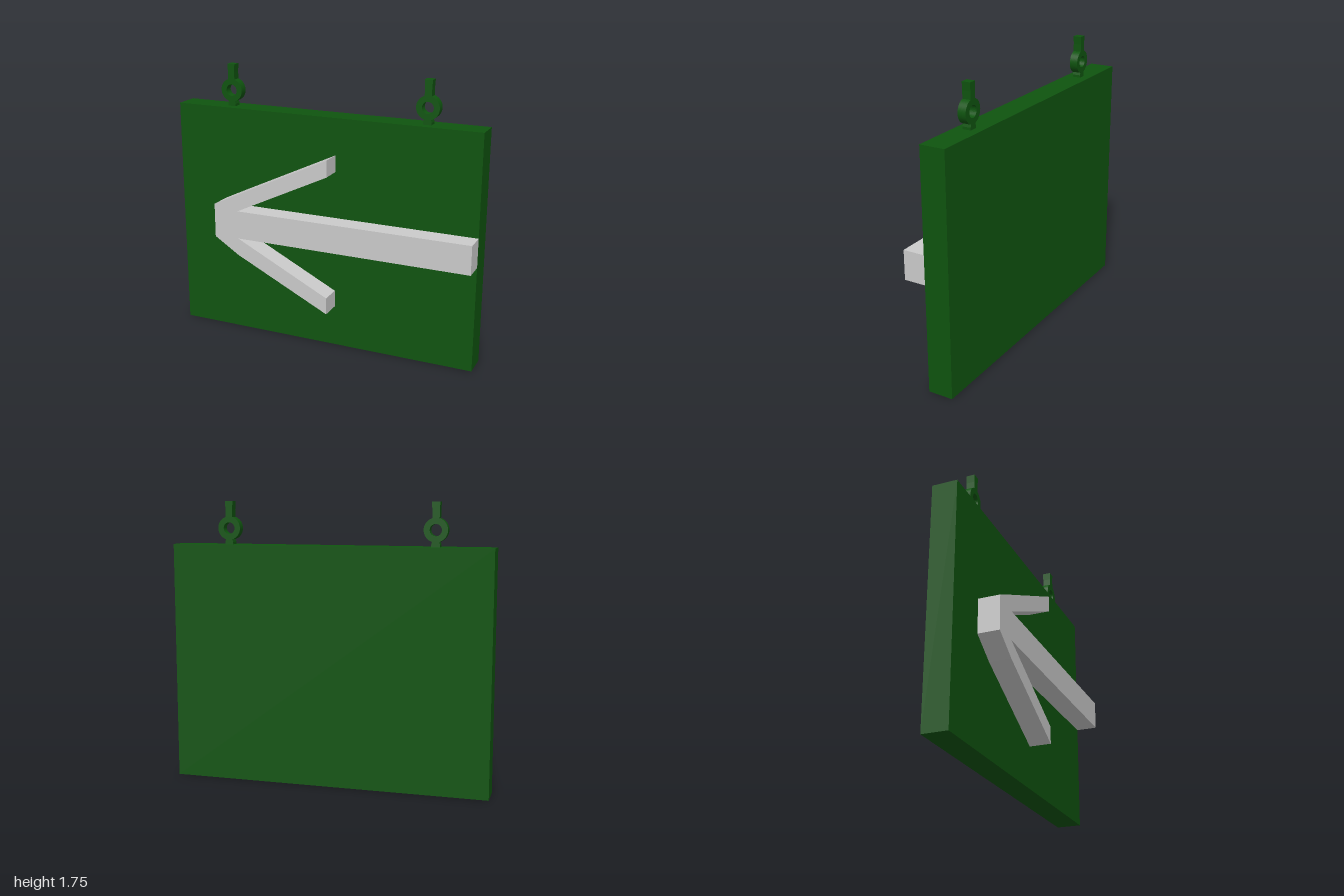
import * as THREE from 'three';

const GREEN = 0x0f540f;

function material(color) {
  return new THREE.MeshStandardMaterial({ color, flatShading: true });
}

// Flat profile extruded from z0 to z1
function slab(name, shape, z0, z1, mat) {
  const geo = new THREE.ExtrudeGeometry(shape, { depth: z1 - z0, bevelEnabled: false, curveSegments: 16 });
  geo.translate(0, 0, z0);
  const mesh = new THREE.Mesh(geo, mat);
  mesh.name = name;
  return mesh;
}

// Eyelet profile: flared foot, ring with a hole, and a stem with a small cap
function eyeletShape() {
  const r = 0.072, cy = 1.59;
  const foot = 0.3, neck = 0.31; // half-angles where the foot and stem meet the ring
  const s = new THREE.Shape();
  s.moveTo(-0.026, 1.485);
  s.lineTo(0.026, 1.485);
  s.lineTo(0.026, 1.505);
  s.absarc(0, cy, r, -Math.PI / 2 + foot, Math.PI / 2 - neck, false);
  s.lineTo(0.022, 1.705);
  s.lineTo(0.025, 1.755);
  s.lineTo(-0.025, 1.755);
  s.lineTo(-0.022, 1.705);
  s.absarc(0, cy, r, Math.PI / 2 + neck, Math.PI * 1.5 - foot, false);
  s.lineTo(-0.026, 1.505);
  s.closePath();
  s.holes.push(new THREE.Path().absarc(0, cy, 0.036, 0, Math.PI * 2, true));
  return s;
}

export function createModel() {
  const model = new THREE.Group();
  model.name = 'hangingArrowSign';
  const green = material(GREEN);
  const grey = material(0xcccccc);

  // Board
  const board = new THREE.Mesh(new THREE.BoxGeometry(2, 1.49, 0.157), green);
  board.name = 'board';
  board.position.set(0, 0.745, -0.0675);
  model.add(board);

  // Raised arrow pointing to -x
  const outline = [
    [-0.69, 0.67], [-0.525, 0.565], [0.09, 0.265], [0.09, 0.373], [-0.525, 0.678], [1, 0.678],
    [1, 0.86], [-0.525, 0.86], [0.09, 1.155], [0.09, 1.26], [-0.525, 0.968], [-0.69, 0.888],
  ].map(([x, y]) => new THREE.Vector2(x, y));
  model.add(slab('arrow', new THREE.Shape(outline), 0.011, 0.146, grey));

  // Hanging eyelets
  for (const [side, name] of [[-1, 'rightEyelet'], [1, 'leftEyelet']]) {
    const eyelet = slab(name, eyeletShape(), -0.092, -0.04, green);
    eyelet.position.x = side * 0.647;
    model.add(eyelet);
  }
  return model;
}
